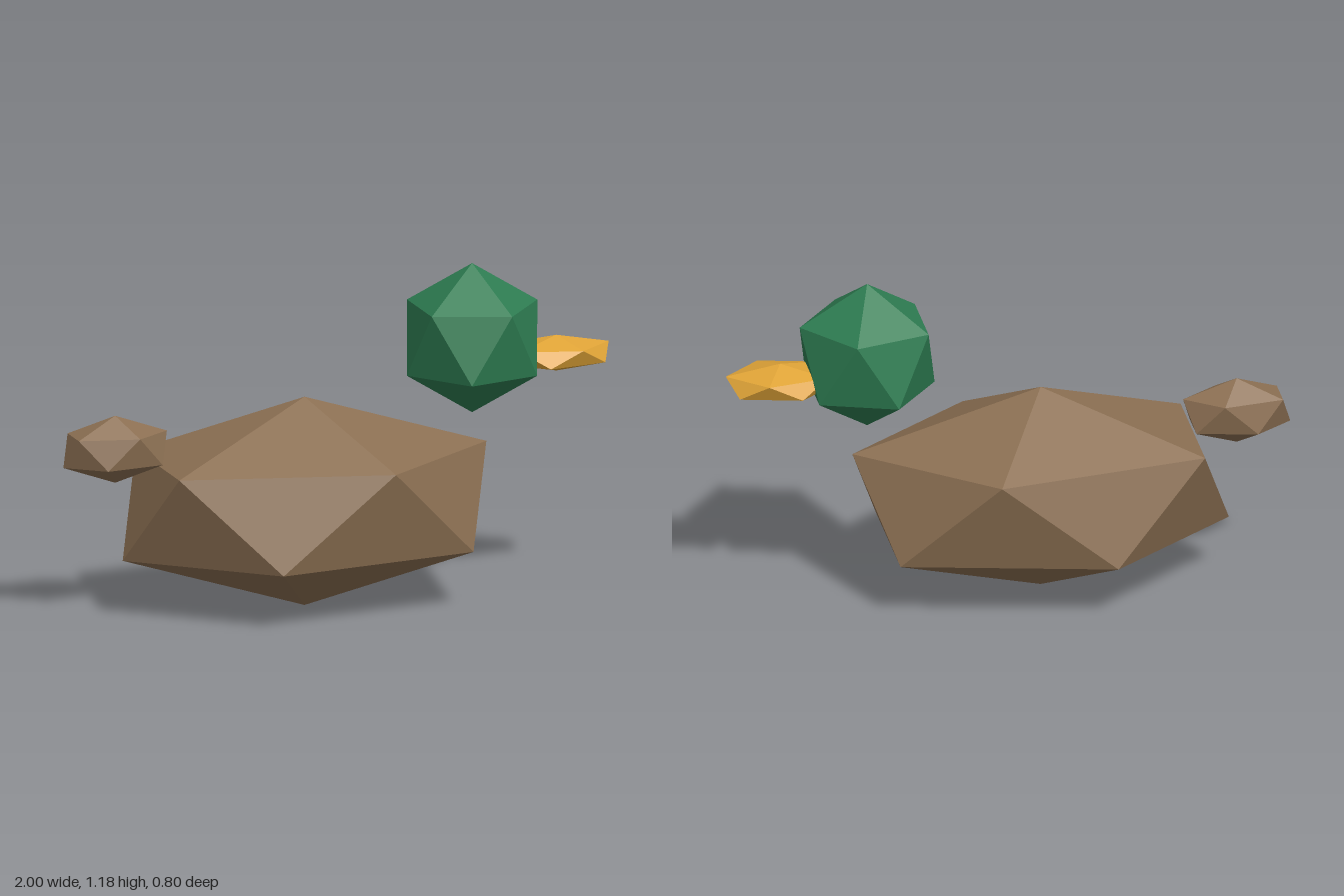
import * as THREE from 'three';

const material = (name, color) => {
  const m = new THREE.MeshStandardMaterial({ color, flatShading: true });
  m.name = name;
  return m;
};

// Icosahedron standing on one vertex, with an upper-ring vertex towards +x
function gem(name, mat, centre, radii) {
  const geometry = new THREE.IcosahedronGeometry(1, 0);
  geometry.rotateZ(-Math.atan(2 / (1 + Math.sqrt(5))));
  geometry.scale(...radii);
  const mesh = new THREE.Mesh(geometry, mat);
  mesh.name = name;
  mesh.position.set(...centre);
  return mesh;
}

export function createModel() {
  const brown = material('brown feathers', 0x8b6f52);
  const green = material('green feathers', 0x2e7d52);
  const amber = material('amber beak', 0xe0a437);

  const duck = new THREE.Group();
  duck.name = 'duck';
  duck.add(
    gem('body', brown, [-0.117, 0.375, 0], [0.745, 0.373, 0.471]),
    gem('head', green, [0.497, 0.915, 0], [0.267, 0.267, 0.267]),
    gem('beak', amber, [0.805, 0.839, 0], [0.215, 0.064, 0.147]),
    gem('tail', brown, [-0.811, 0.61, 0], [0.212, 0.12, 0.122]),
  );
  return duck;
}
